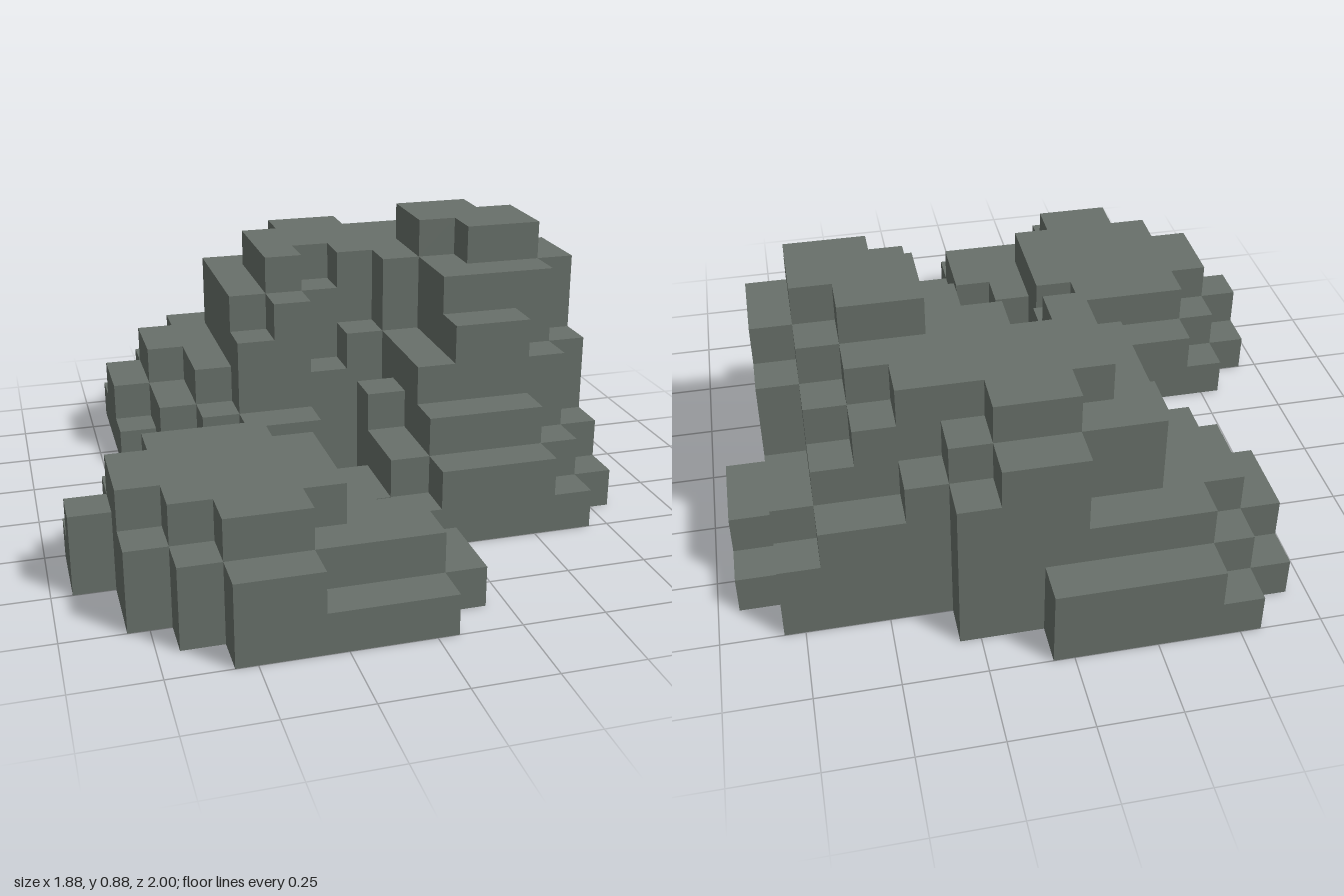
import * as THREE from 'three';

const CELL = 0.125;
const COLS = 15, ROWS = 16;

// Each digit is the height of one block column; rows run from back to front.
const LARGE_ROCK = [
  '...12222.......',
  '..12333554.....',
  '..233556654332.',
  '..2335666665431',
  '..1235666666532',
  '...235656677652',
  '...124534677761',
  '....122..46776.',
  '........346664.',
  '.......1245542.',
  '.......1233321.',
  '........12221..',
];
const SMALL_ROCK = [
  '.1221..........',
  '123331.........',
  '2333331........',
  '.3333321.......',
  '.23333221......',
  '..2332221......',
  '...22111.......',
];

// Outer skin of a stepped block rock
function blockRock(rows, firstRow) {
  const positions = [];
  const heightAt = (i, j) => Number(rows[j]?.[i]) || 0;
  const quad = (a, b, c, d) => positions.push(...a, ...b, ...c, ...a, ...c, ...d);

  rows.forEach((row, j) => {
    for (let i = 0; i < row.length; i++) {
      const h = heightAt(i, j);
      if (!h) continue;
      const x = (i + 0.5 - COLS / 2) * CELL;
      const z = (j + firstRow + 0.5 - ROWS / 2) * CELL;
      const r = CELL / 2, y = h * CELL;

      // top and underside
      quad([x - r, y, z + r], [x + r, y, z + r], [x + r, y, z - r], [x - r, y, z - r]);
      quad([x - r, 0, z - r], [x + r, 0, z - r], [x + r, 0, z + r], [x - r, 0, z + r]);

      // side steps down to each lower neighbour
      for (const [nx, nz] of [[1, 0], [-1, 0], [0, 1], [0, -1]]) {
        const low = heightAt(i + nx, j + nz);
        if (low >= h) continue;
        const cx = x + nx * r, cz = z + nz * r;
        const tx = nz * r, tz = -nx * r;
        const y0 = low * CELL;
        quad([cx - tx, y0, cz - tz], [cx + tx, y0, cz + tz],
          [cx + tx, y, cz + tz], [cx - tx, y, cz - tz]);
      }
    }
  });

  const geometry = new THREE.BufferGeometry();
  geometry.setAttribute('position', new THREE.Float32BufferAttribute(positions, 3));
  geometry.computeVertexNormals();
  return geometry;
}

export function createModel() {
  const group = new THREE.Group();
  group.name = 'rocks';
  const stone = new THREE.MeshStandardMaterial({ color: 0x68706a });
  stone.name = 'grey stone';

  const addRock = (name, rows, firstRow) => {
    const mesh = new THREE.Mesh(blockRock(rows, firstRow), stone);
    mesh.name = name;
    group.add(mesh);
  };
  addRock('largeRock', LARGE_ROCK, 0);
  addRock('smallRock', SMALL_ROCK, 9);
  return group;
}
